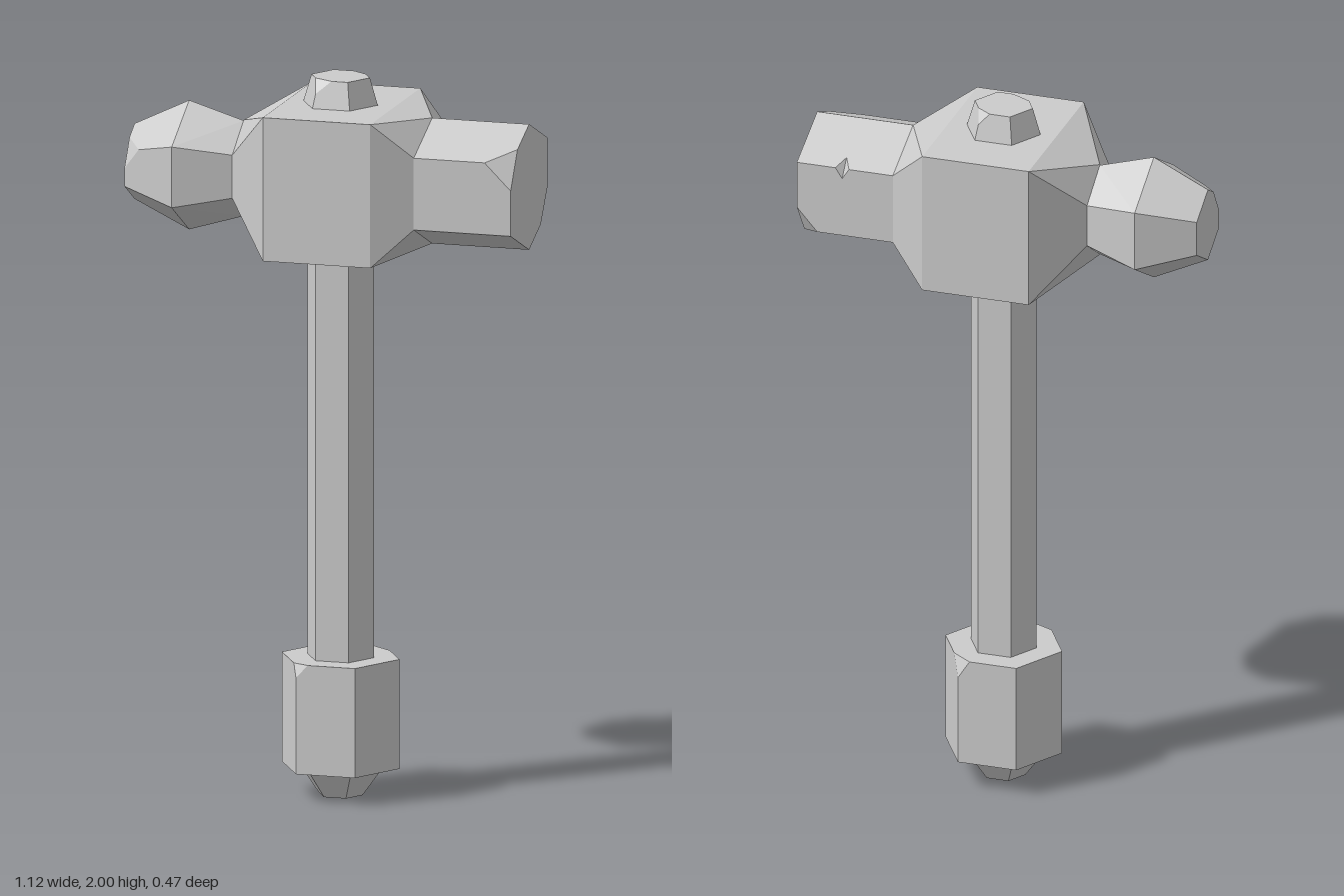
import * as THREE from 'three';
import { ConvexGeometry } from 'three/addons/geometries/ConvexGeometry.js';

const AXIS_X = 0.025; // handle axis
const HEAD_Y = 1.725; // head axis
const material = new THREE.MeshStandardMaterial({ color: 0xcccccc, flatShading: true });

// Horizontal hexagon around the handle axis, corners pointing along x
function hexAroundHandle(y, r) {
  return Array.from({ length: 6 }, (_, k) => {
    const a = (k * Math.PI) / 3;
    return new THREE.Vector3(AXIS_X + r * Math.cos(a), y, r * Math.sin(a));
  });
}

// Upright hexagon across the head axis, corners at top and bottom
// order: top, front upper, front lower, bottom, back lower, back upper
function hexAcrossHead(x, r, z = 0.92 * r, s = 0.47 * r) {
  return [[r, 0], [s, z], [-s, z], [-r, 0], [-s, -z], [s, -z]]
    .map(([dy, dz]) => new THREE.Vector3(x, HEAD_Y + dy, dz));
}

// Cuts corners off: each chip is [corner, [neighbour, fraction], ...]
function chipped(points, chips) {
  const gone = new Set(chips.map(([corner]) => corner));
  const cuts = chips.flatMap(([corner, ...edges]) =>
    edges.map(([other, t]) => points[corner].clone().lerp(points[other], t)));
  return points.filter((_, i) => !gone.has(i)).concat(cuts);
}

function addSolid(parent, name, points, chips = []) {
  const mesh = new THREE.Mesh(new ConvexGeometry(chipped(points, chips)), material);
  mesh.name = name;
  parent.add(mesh);
}

export function createModel() {
  const model = new THREE.Group();
  model.name = 'hammer';

  // Handle, pommel and its tapered tip
  addSolid(model, 'handle', [...hexAroundHandle(0.3, 0.094), ...hexAroundHandle(1.6, 0.094)]);
  addSolid(model, 'pommel', [...hexAroundHandle(0.08, 0.167), ...hexAroundHandle(0.385, 0.167)], [
    [8, [7, 0.2], [9, 0.15], [2, 0.12]],
    [11, [10, 0.2], [6, 0.3], [5, 0.17]],
  ]);
  addSolid(model, 'pommelTip', [...hexAroundHandle(0, 0.062), ...hexAroundHandle(0.08, 0.12)]);

  // Handle end showing above the head
  addSolid(model, 'handleCap', [...hexAroundHandle(1.92, 0.107), ...hexAroundHandle(2, 0.083)], [
    [8, [7, 0.45], [9, 0.4], [2, 0.45]],
    [11, [10, 0.3], [6, 0.4], [5, 0.4]],
  ]);

  const head = new THREE.Group();
  head.name = 'head';
  model.add(head);

  // Square block narrowing to the two hexagonal necks
  const block = [...hexAcrossHead(-0.25, 0.135, 0.11, 0.06), ...hexAcrossHead(0.285, 0.175, 0.175, 0.1)];
  for (const x of [-0.125, 0.18])
    for (const y of [1.525, 1.925])
      for (const z of [-0.237, 0.237]) block.push(new THREE.Vector3(x, y, z));
  addSolid(head, 'headBlock', block);

  // Rounded peen with one chipped corner
  addSolid(head, 'peen', [
    ...hexAcrossHead(-0.25, 0.133, 0.11, 0.06),
    ...hexAcrossHead(-0.405, 0.18),
    ...hexAcrossHead(-0.56, 0.105),
  ], [[13, [12, 0.5], [7, 0.3], [14, 0.5]]]);

  // Striking end in two halves whose chipped corners meet in a V notch
  const section = (x) => hexAcrossHead(x, 0.175, 0.175, 0.1);
  addSolid(head, 'strikerInner', [...section(0.28), ...section(0.43)], [
    [11, [5, 0.13], [6, 0.22], [10, 0.15]],
  ]);
  addSolid(head, 'strikerOuter', [...section(0.43), ...section(0.56)], [
    [5, [11, 0.15], [0, 0.22], [4, 0.15]],
    [7, [1, 0.57], [6, 0.37], [8, 0.37]],
    [10, [4, 0.45], [9, 0.37], [11, 0.33]],
  ]);

  return model;
}
